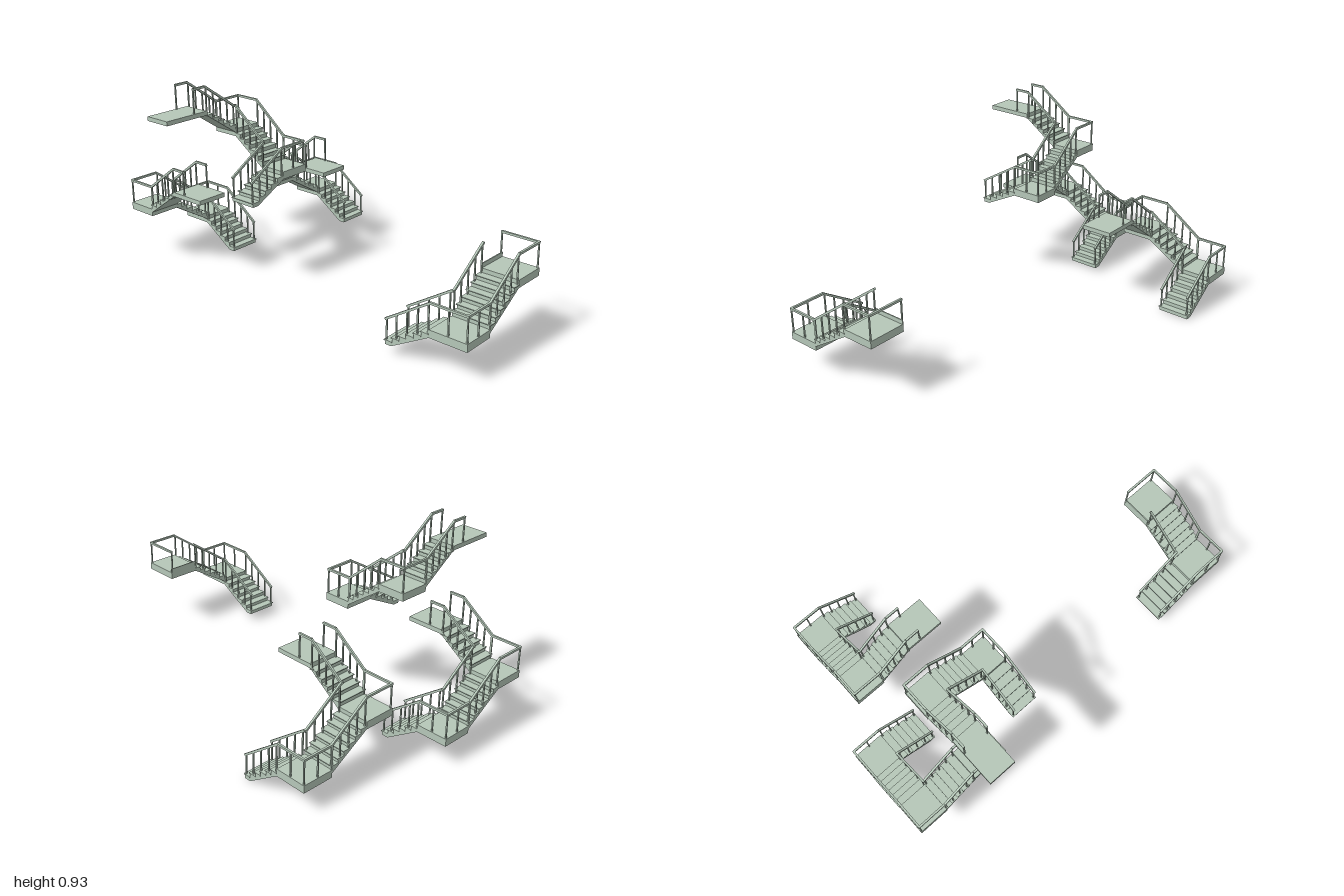
import * as THREE from 'three';

const material = new THREE.MeshStandardMaterial({ color: 0xb5c7b8, flatShading: true });
const RAIL_H = 0.115, RAIL = 0.01, POST = 0.006, INSET = 0.006;
const SLAB = 0.036, PLATFORM = 0.021;
const risers = (y0, y1) => Math.round((y1 - y0) / 0.0205);

function box(parent, name, w, h, d, x, y, z) {
  const mesh = new THREE.Mesh(new THREE.BoxGeometry(w, h, d), material);
  mesh.name = name;
  mesh.position.set(x, y, z);
  parent.add(mesh);
  return mesh;
}

// One flight climbing along its own +x, with sloped underside and overhanging treads
function flight(parent, name, width, run, y0, y1, endThickness, onGround) {
  const g = new THREE.Group();
  g.name = name;
  const n = risers(y0, y1), rise = (y1 - y0) / n, going = run / (n - 1);
  const s = new THREE.Shape();
  s.moveTo(0, y0);
  for (let i = 0; i < n - 1; i++) {
    s.lineTo(i * going, y0 + (i + 1) * rise);
    s.lineTo((i + 1) * going, y0 + (i + 1) * rise);
    box(g, 'tread', going + 0.005, 0.004, width + 0.005,
      (i + 0.5) * going - 0.0025, y0 + (i + 1) * rise - 0.001, 0);
  }
  s.lineTo(run, y1);
  s.lineTo(run, y1 - endThickness);
  if (onGround) s.lineTo(0.032, y0);
  else s.lineTo(0, y0 - 0.016);
  s.closePath();
  const geo = new THREE.ExtrudeGeometry(s, { depth: width, bevelEnabled: false });
  geo.translate(0, 0, -width / 2);
  const body = new THREE.Mesh(geo, material);
  body.name = 'stairBody';
  g.add(body);
  parent.add(g);
  return g;
}

// Handrail along floor points, with posts standing on treads and landings
function railing(parent, name, pts, midPostLevel) {
  const g = new THREE.Group();
  g.name = name;
  const post = (x, z, floor, top) =>
    box(g, 'railPost', POST, top - floor, POST, x, (top + floor) / 2, z);
  for (let i = 0; i < pts.length - 1; i++) {
    const a = new THREE.Vector3(...pts[i]), b = new THREE.Vector3(...pts[i + 1]);
    const len = a.distanceTo(b), mid = a.clone().lerp(b, 0.5);
    const bar = box(g, 'handrail', RAIL, RAIL, len + RAIL * 0.6, mid.x, mid.y + RAIL_H, mid.z);
    bar.lookAt(b.x, b.y + RAIL_H, b.z);
    if (b.y > a.y) {
      const n = risers(a.y, b.y), rise = (b.y - a.y) / n;
      for (const t of [0.02, 0.25, 0.49, 0.73, 0.97]) {
        const p = a.clone().lerp(b, t);
        post(p.x, p.z, a.y + (Math.floor(t * (n - 1)) + 1) * rise, p.y + RAIL_H);
      }
    } else if (len > 0.06) {
      post(b.x, b.z, b.y, b.y + RAIL_H);
      if (a.y === midPostLevel) post(mid.x, mid.z, a.y, a.y + RAIL_H);
    }
  }
  parent.add(g);
}

// Left-turning staircase around the centre of its first landing.
// a: width of the outer flights, b: width of the middle flight, y: floor levels
function staircase({ name, at, turn, a, b, runs, platform, y }) {
  const g = new THREE.Group();
  g.name = name;
  g.position.set(at[0], 0, at[1]);
  g.rotation.y = turn;
  const [r1, r2, r3] = runs, [y0, y1, y2, y3] = y;
  const cx = -(a + r2), full = runs.length === 3;

  const f1 = flight(g, 'lowerFlight', a, r1, y0, y1, SLAB, true);
  f1.position.z = b / 2 + r1;
  f1.rotation.y = Math.PI / 2;
  const f2 = flight(g, 'middleFlight', b, r2, y1, y2, SLAB, false);
  f2.position.x = -a / 2;
  f2.rotation.y = Math.PI;
  box(g, 'lowerLanding', a, SLAB, b, 0, y1 - SLAB / 2, 0);
  box(g, 'upperLanding', a, SLAB, b, cx, y2 - SLAB / 2, 0);

  const xo = a / 2 - INSET, zo = b / 2 - INSET, h = b / 2;
  let outer = [[xo, y0, h + r1], [xo, y1, h], [xo, y1, -zo], [-a / 2, y1, -zo],
    [-a / 2 - r2, y2, -zo], [cx - xo, y2, -zo], [cx - xo, y2, h]];
  let inner = [[-xo, y0, h + r1], [-xo, y1, h], [-xo, y1, zo], [-a / 2, y1, zo],
    [-a / 2 - r2, y2, zo]];

  if (full) {
    const f3 = flight(g, 'upperFlight', a, r3, y2, y3, PLATFORM, false);
    f3.position.set(cx, 0, h);
    f3.rotation.y = -Math.PI / 2;
    box(g, 'topPlatform', a, PLATFORM, platform, cx, y3 - PLATFORM / 2, h + r3 + platform / 2);
    outer.push([cx - xo, y3, h + r3], [cx - xo, y3, h + r3 + 0.07]);
    inner.push([cx + xo, y2, zo], [cx + xo, y2, h],
      [cx + xo, y3, h + r3], [cx + xo, y3, h + r3 + 0.07]);
  } else {
    box(g, 'edgeRiser', a, 0.02, 0.005, cx, y2 + 0.01, h - 0.0025);
  }
  railing(g, 'outerRailing', outer, y1);
  railing(g, 'innerRailing', inner, y1);
  return g;
}

export function createModel() {
  const model = new THREE.Group();
  model.name = 'staircases';
  const stairs = [
    { name: 'leftStaircase', at: [0.561, -0.753], turn: 0, a: 0.156, b: 0.157,
      runs: [0.195, 0.197, 0.175], platform: 0.195, y: [0, 0.147, 0.288, 0.42] },
    { name: 'backStaircase', at: [-0.103, -0.922], turn: 0, a: 0.154, b: 0.155,
      runs: [0.195, 0.193, 0.175], platform: 0.185, y: [0, 0.144, 0.284, 0.414] },
    { name: 'highStaircase', at: [-0.16, -0.2925], turn: -Math.PI / 2, a: 0.135, b: 0.15,
      runs: [0.2, 0.18, 0.175], platform: 0.235, y: [0.42, 0.54, 0.687, 0.813] },
    { name: 'frontStaircase', at: [-0.415, 0.907], turn: Math.PI, a: 0.158, b: 0.185,
      runs: [0.22, 0.2], y: [0.043, 0.184, 0.328] },
  ];
  for (const s of stairs) model.add(staircase(s));
  return model;
}
